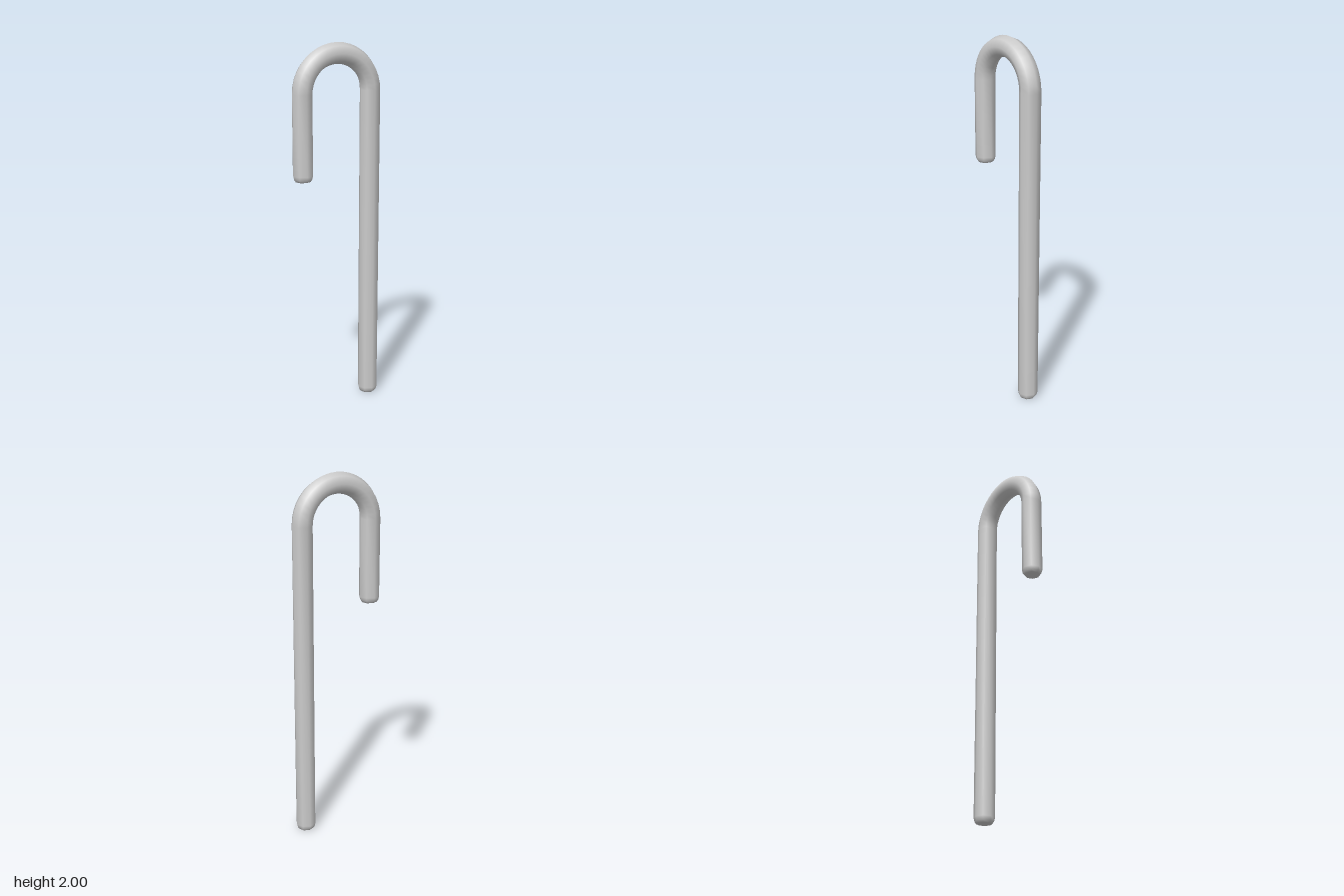
import * as THREE from 'three';

const SIDES = 8;        // octagonal rod
const ROD = 0.056;      // rod radius
const BEND = 0.2;       // radius of the hook's centre line
const BEND_Y = 1.744;   // height where the bend starts
const HOOK_END = 1.285; // height of the short end
const ARC_STEPS = 20;

// Rounded tip: [height above the end, radius]
const TIP = [[0, 0], [0, 0.042], [0.012, 0.051], [0.032, ROD]];

// Sweep octagonal rings up the shaft, round the bend and down the hook
function caneGeometry() {
  const rings = []; // each: centre x, centre y, radius, bend angle
  TIP.forEach(([h, r]) => rings.push([BEND, h, r, 0]));
  for (let i = 0; i <= ARC_STEPS; i++) {
    const a = Math.PI * i / ARC_STEPS;
    rings.push([BEND * Math.cos(a), BEND_Y + BEND * Math.sin(a), ROD, a]);
  }
  [...TIP].reverse().forEach(([h, r]) => rings.push([-BEND, HOOK_END + h, r, Math.PI]));

  const positions = [];
  const indices = [];
  rings.forEach(([x, y, r, a], i) => {
    for (let j = 0; j < SIDES; j++) {
      const t = 2 * Math.PI * j / SIDES;
      const out = r * Math.cos(t);
      positions.push(x + out * Math.cos(a), y + out * Math.sin(a), r * Math.sin(t));
      if (i === rings.length - 1) continue;
      const k = (j + 1) % SIDES;
      const p = i * SIDES + j, q = i * SIDES + k;
      indices.push(p, p + SIDES, q + SIDES, p, q + SIDES, q);
    }
  });

  const geometry = new THREE.BufferGeometry();
  geometry.setAttribute('position', new THREE.Float32BufferAttribute(positions, 3));
  geometry.setIndex(indices);
  geometry.computeVertexNormals();
  return geometry;
}

export function createModel() {
  const group = new THREE.Group();
  group.name = 'cane';
  const rod = new THREE.Mesh(caneGeometry(), new THREE.MeshStandardMaterial({ color: 0xcccccc }));
  rod.name = 'hookedRod';
  group.add(rod);
  return group;
}
